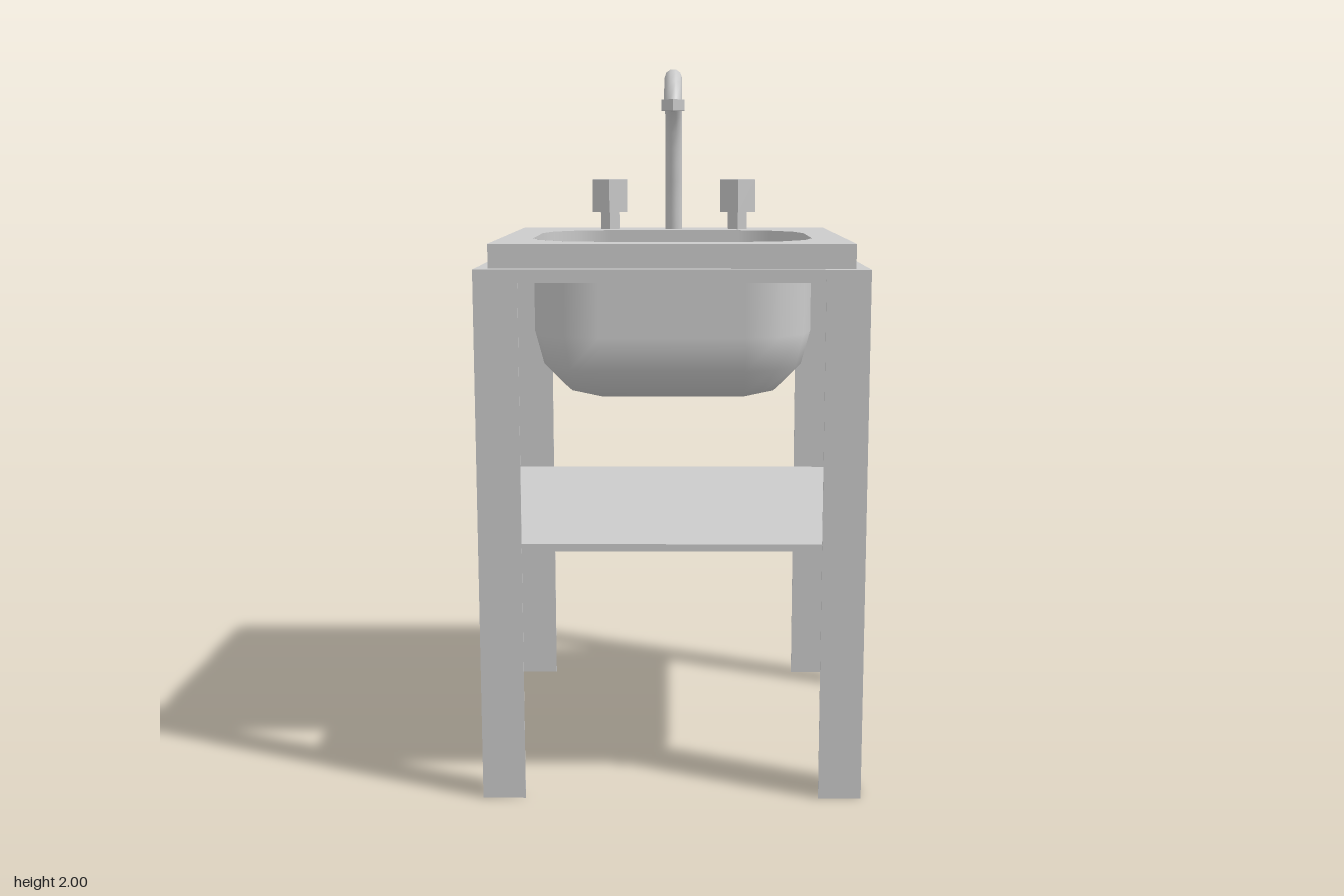
import * as THREE from 'three';

const grey = new THREE.MeshStandardMaterial({ color: 0xcccccc });
const greyDouble = new THREE.MeshStandardMaterial({ color: 0xcccccc, side: THREE.DoubleSide });
const greyFlat = new THREE.MeshStandardMaterial({ color: 0xcccccc, flatShading: true });

const HALF = 0.52, FRAME_TOP = 1.455, TOP = 1.52;
// Basin: rounded box whose corners are quarter spheres
const BASIN = { cx: 0.2, cz: 0.1475, z: 0.0475, r: 0.19, seg: 3, bend: 1.26 };

function add(parent, name, geometry, material = grey) {
  const mesh = new THREE.Mesh(geometry, material);
  mesh.name = name;
  parent.add(mesh);
  return mesh;
}

// Outline of the basin at corner radius r: [x, z, normal x, normal z]
function basinOutline(r) {
  const pts = [];
  for (let q = 0; q < 4; q++) {
    const sx = q === 0 || q === 3 ? 1 : -1, sz = q < 2 ? 1 : -1;
    for (let i = 0; i <= BASIN.seg; i++) {
      const a = (q + i / BASIN.seg) * Math.PI / 2, c = Math.cos(a), s = Math.sin(a);
      pts.push([sx * BASIN.cx + r * c, BASIN.z + sz * BASIN.cz + r * s, c, s]);
    }
  }
  return pts;
}

function basinGeometry() {
  const pos = [], nor = [], idx = [];
  const rings = [[TOP, 0]];
  for (let i = 0; i <= BASIN.seg; i++) {
    const t = i / BASIN.seg * Math.PI / 2;
    rings.push([BASIN.bend - BASIN.r * Math.sin(t), t]);
  }
  for (const [y, t] of rings) {
    for (const [x, z, nx, nz] of basinOutline(BASIN.r * Math.cos(t))) {
      pos.push(x, y, z);
      nor.push(nx * Math.cos(t), -Math.sin(t), nz * Math.cos(t));
    }
  }
  const n = 4 * (BASIN.seg + 1);
  for (let k = 0; k < rings.length - 1; k++) {
    for (let i = 0; i < n; i++) {
      const a = k * n + i, b = k * n + (i + 1) % n;
      idx.push(a, b, b + n, a, b + n, a + n);
    }
  }
  // flat bottom
  const last = (rings.length - 1) * n, step = BASIN.seg + 1;
  idx.push(last, last + step, last + 2 * step, last, last + 2 * step, last + 3 * step);
  const g = new THREE.BufferGeometry();
  g.setAttribute('position', new THREE.Float32BufferAttribute(pos, 3));
  g.setAttribute('normal', new THREE.Float32BufferAttribute(nor, 3));
  g.setIndex(idx);
  return g;
}

// Square slab with a hole, lying flat between two heights
function slab(half, holePoints, y0, y1) {
  const shape = new THREE.Shape([[-1, -1], [1, -1], [1, 1], [-1, 1]]
    .map(([x, y]) => new THREE.Vector2(x * half, y * half)));
  shape.holes.push(new THREE.Path(holePoints.map(([x, z]) => new THREE.Vector2(x, -z))));
  const g = new THREE.ExtrudeGeometry(shape, { depth: y1 - y0, bevelEnabled: false });
  return g.rotateX(-Math.PI / 2).translate(0, y0, 0);
}

// Angle-iron leg, outer corner at (HALF, HALF)
function legGeometry() {
  const w = 0.117, t = 0.004;
  const shape = new THREE.Shape([[0, 0], [-w, 0], [-w, -t], [-t, -t], [-t, -w], [0, -w]]
    .map(([x, y]) => new THREE.Vector2(HALF + x, HALF + y)));
  const g = new THREE.ExtrudeGeometry(shape, { depth: FRAME_TOP, bevelEnabled: false });
  return g.rotateX(-Math.PI / 2);
}

export function createModel() {
  const model = new THREE.Group();
  model.name = 'sinkStand';

  // Stand: four angle legs, top frame and lower shelf
  const legs = new THREE.Group();
  legs.name = 'legs';
  model.add(legs);
  const names = ['backLeftLeg', 'backRightLeg', 'frontRightLeg', 'frontLeftLeg'];
  const leg = legGeometry();
  names.forEach((name, i) => { add(legs, name, leg).rotation.y = i * Math.PI / 2; });

  const inner = 0.403;
  add(model, 'topFrame', slab(HALF - 0.001,
    [[-inner, -inner], [inner, -inner], [inner, inner], [-inner, inner]], 1.42, FRAME_TOP));
  const shelfSize = 2 * (HALF - 0.002);
  add(model, 'shelf', new THREE.BoxGeometry(shelfSize, 0.02, shelfSize)).position.y = 0.71;

  // Sink top and basin
  add(model, 'sinkTop', slab(0.484, basinOutline(BASIN.r + 0.001), FRAME_TOP, TOP));
  add(model, 'basin', basinGeometry(), greyDouble);

  // Tap handles
  for (const [name, x] of [['leftHandle', 0.202], ['rightHandle', -0.202]]) {
    const handle = new THREE.Group();
    handle.name = name;
    handle.position.set(x, TOP, -0.389);
    model.add(handle);
    add(handle, 'stem', new THREE.CylinderGeometry(0.034, 0.034, 0.055, 6), greyFlat).position.y = 0.0275;
    add(handle, 'knob', new THREE.CylinderGeometry(0.063, 0.063, 0.102, 6), greyFlat).position.y = 0.105;
  }

  // Curved spout with hexagonal nozzle
  const path = new THREE.CurvePath();
  const points = [[1.515, -0.388], [1.67, -0.378], [1.84, -0.35], [1.93, -0.288],
    [1.974, -0.205], [1.974, -0.125], [1.94, -0.06], [1.9, -0.04]]
    .map(([y, z]) => new THREE.Vector3(0, y, z));
  const curve = new THREE.CatmullRomCurve3(points);
  add(model, 'spout', new THREE.TubeGeometry(curve, 14, 0.026, 10), greyDouble);
  add(model, 'nozzle', new THREE.CylinderGeometry(0.039, 0.039, 0.032, 6), greyFlat)
    .position.set(0, 1.894, -0.038);

  return model;
}
